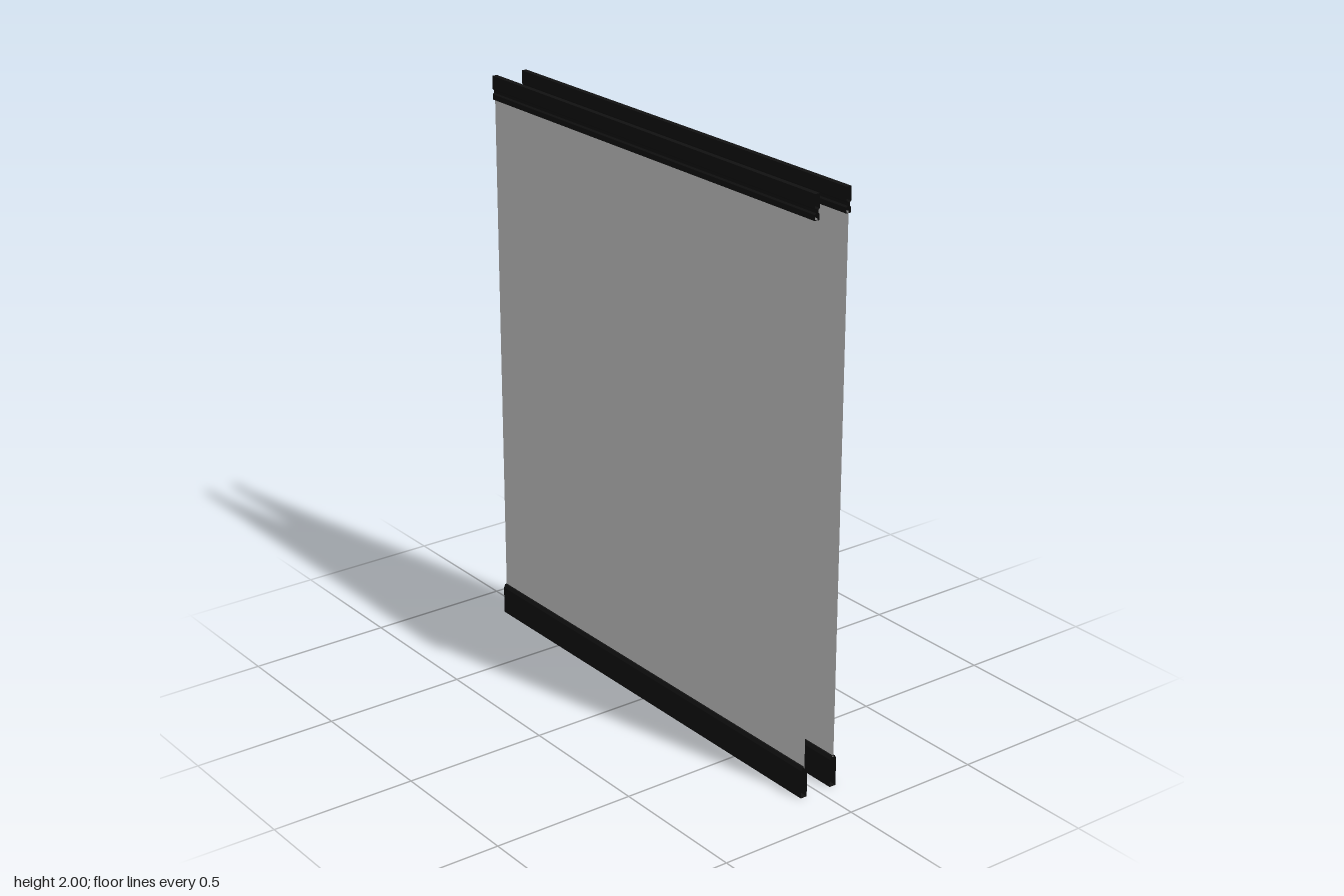
import * as THREE from 'three';

const HALF_WIDTH = 0.84;
const PANEL_Z = 0.06;

// Open-ended tube along x. half: [z, y] points of the front side, bottom to top;
// the back side is its mirror image.
function openRail(half) {
  const loop = [...half, ...half.map(([z, y]) => [-z, y]).reverse()];
  const pos = [];
  loop.forEach(([z0, y0], i) => {
    const [z1, y1] = loop[(i + 1) % loop.length];
    const w = HALF_WIDTH;
    pos.push(-w, y0, z0, w, y0, z0, w, y1, z1);
    pos.push(-w, y0, z0, w, y1, z1, -w, y1, z1);
  });
  const geo = new THREE.BufferGeometry();
  geo.setAttribute('position', new THREE.Float32BufferAttribute(pos, 3));
  geo.computeVertexNormals();
  return geo;
}

export function createModel() {
  const model = new THREE.Group();
  const grey = new THREE.MeshStandardMaterial({ color: 0xcccccc, side: THREE.DoubleSide });
  const black = new THREE.MeshStandardMaterial({ color: 0x111111, side: THREE.DoubleSide });

  // Top rail with a groove above its lower lip; bottom rail with a bevelled top
  const topGeo = openRail([
    [0.009, 1.918], [0.009, 1.936], [0.004, 1.941], [0.004, 1.95], [0.009, 1.955], [0.009, 2],
  ]);
  const bottomGeo = openRail([[0.012, 0], [0.012, 0.098], [0.006, 0.11]]);
  const panelGeo = new THREE.PlaneGeometry(HALF_WIDTH * 2, 1.82).translate(0, 1.015, 0);

  // Two identical units facing away from each other
  ['front', 'back'].forEach((side, i) => {
    const unit = new THREE.Group();
    unit.name = side + 'Screen';
    const add = (name, geo, mat) => {
      const mesh = new THREE.Mesh(geo, mat);
      mesh.name = side + name;
      mesh.position.z = PANEL_Z;
      unit.add(mesh);
    };
    add('Panel', panelGeo, grey);
    add('TopRail', topGeo, black);
    add('BottomRail', bottomGeo, black);
    unit.rotation.y = i * Math.PI;
    model.add(unit);
  });
  return model;
}
